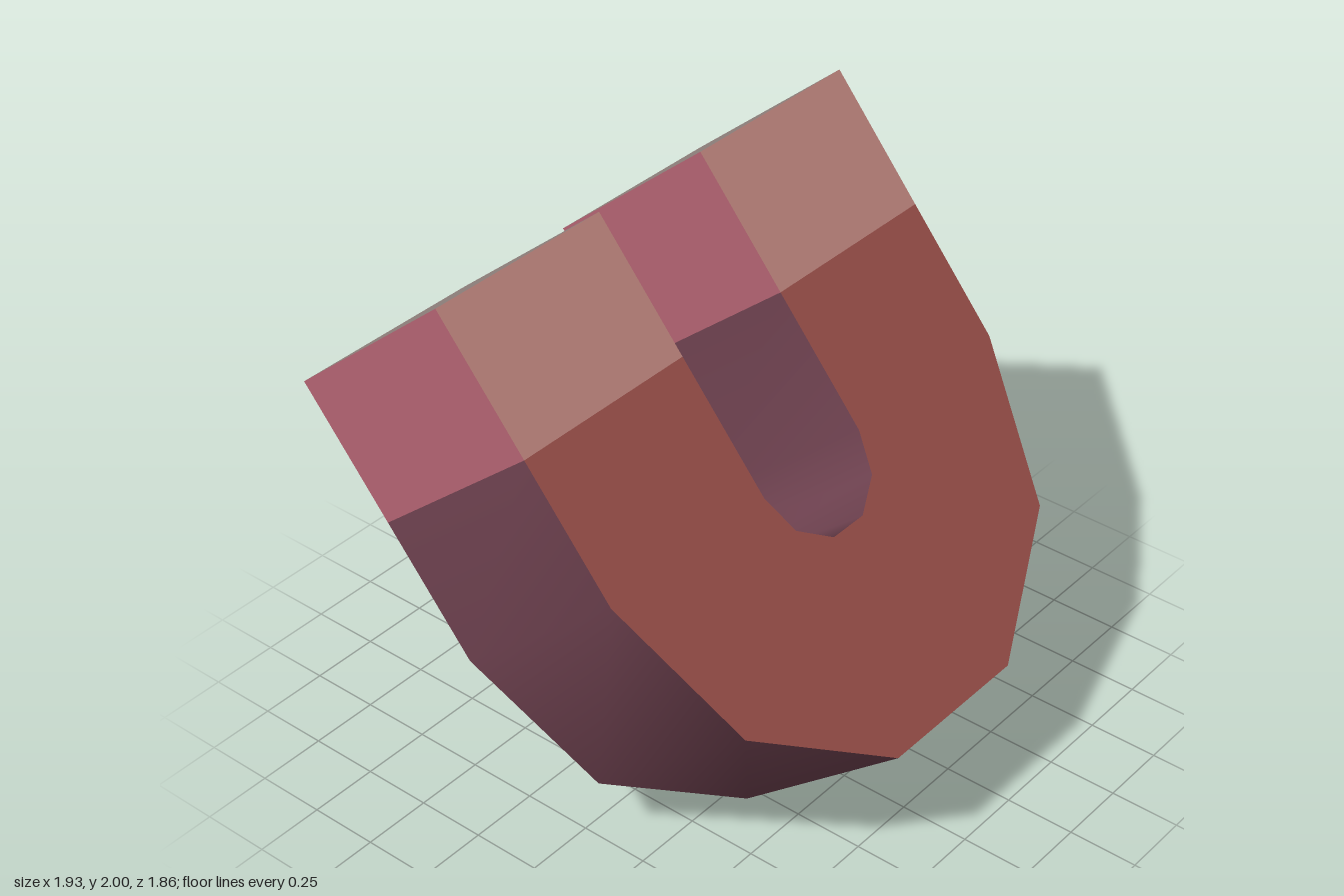
import * as THREE from 'three';
import { toCreasedNormals } from 'three/addons/utils/BufferGeometryUtils.js';

const mat = (name, color) => {
  const m = new THREE.MeshStandardMaterial({ color });
  m.name = name;
  return m;
};

export function createModel() {
  const bodyFace = mat('brick red', 0x9e524c);
  const bodySide = mat('dark plum', 0x6f4250);
  const tipFace = mat('pale pink', 0xc0867f);
  const tipSide = mat('rose', 0xb36372);
  const tipEnd = mat('warm grey', 0x968782);

  const outer = 0.966, inner = 0.243, depth = 0.795;
  const top = 0.972, seam = 0.457, bend = -0.053, steps = 5;

  // Half-circle points below the bend line, running from +x to -x
  const arc = (r) => Array.from({ length: steps + 1 }, (_, i) => {
    const a = (i / steps) * Math.PI;
    return new THREE.Vector2(r * Math.cos(a), bend - r * Math.sin(a));
  });

  // The tilted horseshoe
  const magnet = new THREE.Group();
  magnet.name = 'magnet';
  magnet.position.y = 1;
  magnet.rotation.x = -THREE.MathUtils.degToRad(40);

  // U-shaped body: flat faces, smoothly shaded bends
  const outline = new THREE.Shape([
    new THREE.Vector2(inner, seam), new THREE.Vector2(outer, seam),
    ...arc(outer),
    new THREE.Vector2(-outer, seam), new THREE.Vector2(-inner, seam),
    ...arc(inner).reverse(),
  ]);
  const bodyGeo = new THREE.ExtrudeGeometry(outline, { depth, bevelEnabled: false });
  bodyGeo.translate(0, 0, -depth / 2);
  const body = new THREE.Mesh(toCreasedNormals(bodyGeo, 0.75), [bodyFace, bodySide]);
  body.name = 'body';
  magnet.add(body);

  // Pole tips on both arms
  const tipGeo = new THREE.BoxGeometry(outer - inner, top - seam, depth);
  for (const side of [1, -1]) {
    const tip = new THREE.Mesh(tipGeo, [tipSide, tipSide, tipEnd, tipEnd, tipFace, tipFace]);
    tip.name = side > 0 ? 'leftTip' : 'rightTip';
    tip.position.set(side * (outer + inner) / 2, (top + seam) / 2, 0);
    magnet.add(tip);
  }

  const model = new THREE.Group();
  model.name = 'horseshoeMagnet';
  model.add(magnet);
  return model;
}
